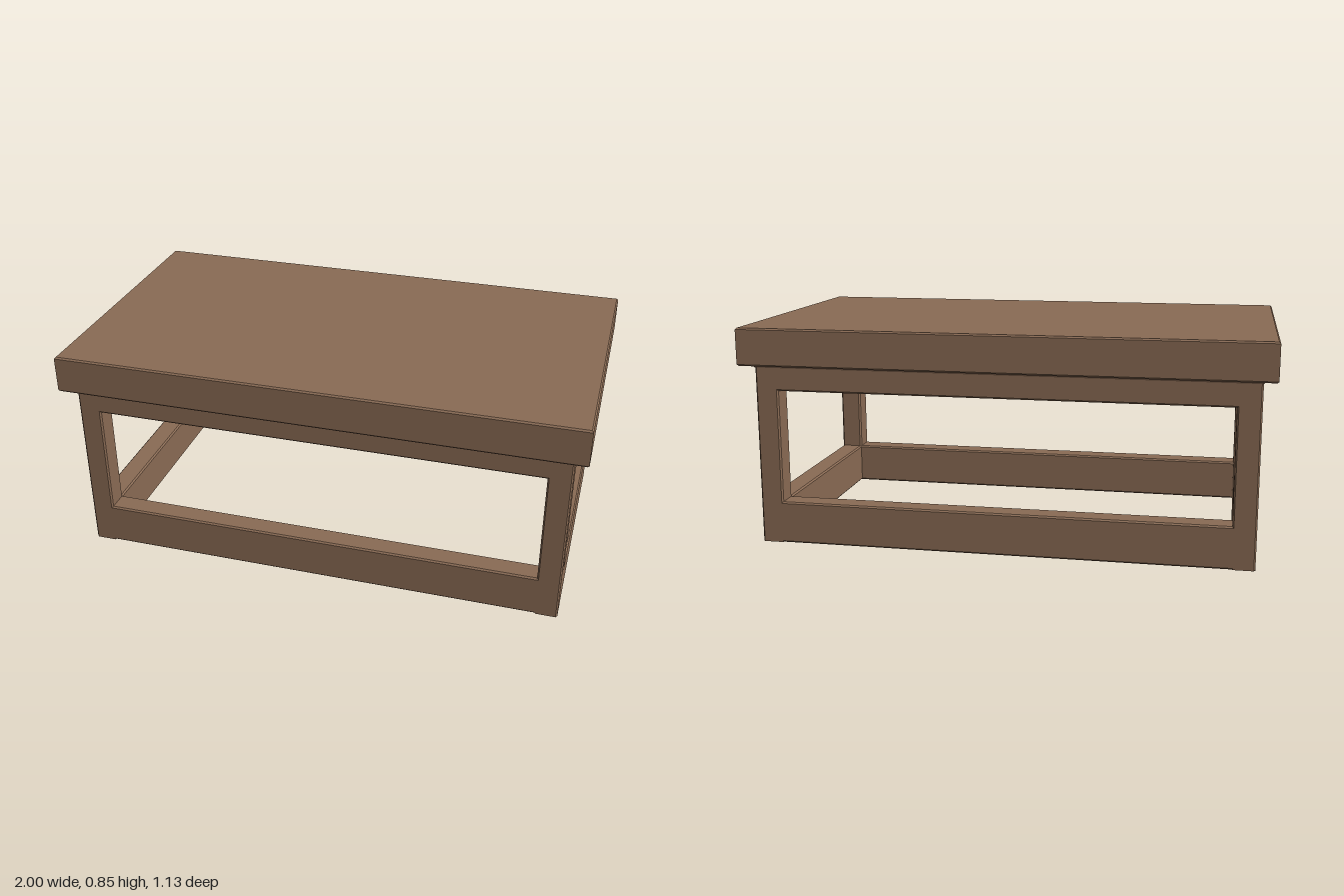
import * as THREE from 'three';

const wood = new THREE.MeshStandardMaterial({ color: 0x8a6b54 });
wood.name = 'brown wood';

const BEVEL = 0.006;
const HALF_X = 0.95, HALF_Z = 0.515, BASE_TOP = 0.705, WALL = 0.088;

function rectangle(target, halfW, y0, y1) {
  target.moveTo(-halfW, y0);
  target.lineTo(halfW, y0);
  target.lineTo(halfW, y1);
  target.lineTo(-halfW, y1);
  target.closePath();
  return target;
}

// Bevelled extrusion whose outer size stays that of the shape, front at z = 0
function slab(shape, depth) {
  const geometry = new THREE.ExtrudeGeometry(shape, {
    depth: depth - 2 * BEVEL, bevelEnabled: true, bevelSegments: 1,
    bevelSize: BEVEL, bevelThickness: BEVEL, bevelOffset: -BEVEL,
  });
  return geometry.translate(0, 0, BEVEL - depth);
}

// Upright wall with a wide window-like opening
function framePanel(name, halfW, openHalfW) {
  const shape = rectangle(new THREE.Shape(), halfW, 0, BASE_TOP);
  shape.holes.push(rectangle(new THREE.Path(), openHalfW, 0.164, 0.604));
  const mesh = new THREE.Mesh(slab(shape, WALL), wood);
  mesh.name = name;
  return mesh;
}

export function createModel() {
  const group = new THREE.Group();
  group.name = 'table';

  // Thick table top
  const topShape = rectangle(new THREE.Shape(), 1, -0.565, 0.565);
  const top = new THREE.Mesh(slab(topShape, 0.145).rotateX(-Math.PI / 2), wood);
  top.position.y = 0.85;
  top.name = 'tableTop';
  group.add(top);

  // Open base: four panels meeting at the corners
  for (const side of [1, -1]) {
    const long = framePanel(side > 0 ? 'frontFrame' : 'backFrame', HALF_X, 0.861);
    long.position.z = side * HALF_Z;
    long.rotation.y = side > 0 ? 0 : Math.PI;
    const short = framePanel(side > 0 ? 'leftFrame' : 'rightFrame', HALF_Z, 0.426);
    short.position.x = side * HALF_X;
    short.rotation.y = side * Math.PI / 2;
    group.add(long, short);
  }

  // Small flare where the base meets the top
  const r = Math.SQRT2;
  const flareGeometry = new THREE.CylinderGeometry(r * 1.009, r, 0.012, 4, 1, true)
    .rotateY(Math.PI / 4).scale(HALF_X, 1, HALF_Z).toNonIndexed();
  flareGeometry.computeVertexNormals();
  const flare = new THREE.Mesh(flareGeometry, wood);
  flare.position.y = BASE_TOP - 0.006;
  flare.name = 'baseFlare';
  group.add(flare);

  return group;
}
